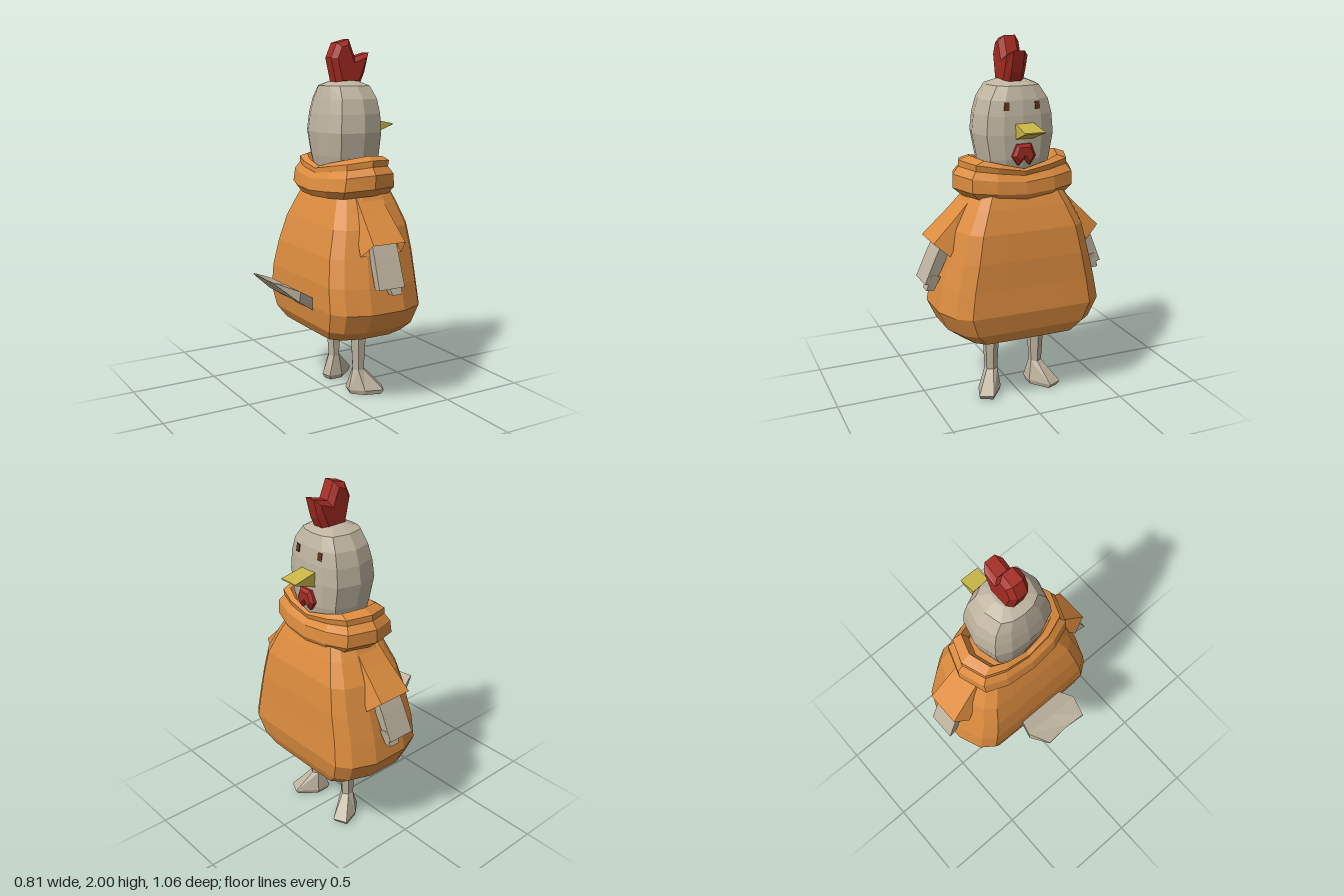
import * as THREE from 'three';

const mat = (name, color, side = THREE.FrontSide) => {
  const m = new THREE.MeshStandardMaterial({ color, flatShading: true, side });
  m.name = name;
  return m;
};

// Skin a list of equal-length rings of [x, y, z] points; faces are turned outward by signed volume
function loft(rings, caps = true) {
  const tris = [], n = rings[0].length;
  for (let i = 0; i < rings.length - 1; i++) {
    for (let j = 0; j < n; j++) {
      const k = (j + 1) % n;
      const a = rings[i][j], b = rings[i][k], c = rings[i + 1][k], d = rings[i + 1][j];
      tris.push([a, b, c], [a, c, d]);
    }
  }
  if (caps) {
    const mid = r => [0, 1, 2].map(q => r.reduce((s, p) => s + p[q], 0) / n);
    const first = rings[0], last = rings[rings.length - 1];
    const c0 = mid(first), c1 = mid(last);
    for (let j = 0; j < n; j++) {
      const k = (j + 1) % n;
      tris.push([c0, first[k], first[j]], [c1, last[j], last[k]]);
    }
  }
  const v = p => new THREE.Vector3(...p);
  const volume = tris.reduce((s, [a, b, c]) => s + v(a).dot(v(b).cross(v(c))), 0);
  const pos = tris.flatMap(t => (volume < 0 ? [t[0], t[2], t[1]] : t).flat());
  const g = new THREE.BufferGeometry();
  g.setAttribute('position', new THREE.Float32BufferAttribute(pos, 3));
  g.computeVertexNormals();
  return g;
}

// Mirror a quarter outline (from +x round to +z) into a full unit outline
function fullOutline(quarter) {
  const half = [...quarter, ...quarter.slice().reverse().filter(p => p[0] > 0).map(([x, z]) => [-x, z])];
  return [...half, ...half.slice().reverse().filter(p => p[1] > 0).map(([x, z]) => [x, -z])];
}
const boxy = fullOutline([[1, 0], [1, 0.38], [0.99, 0.73], [0.8, 0.89], [0.36, 1], [0, 1.0]]);
const oval = fullOutline([[1, 0], [0.94, 0.48], [0.73, 0.84], [0, 1]]);

// Horizontal section: height, back x, front x, half width in z
const section = (outline, [y, x0, x1, hz], cz = 0) =>
  outline.map(([u, w]) => [(x0 + x1) / 2 + u * (x1 - x0) / 2, y, cz + w * hz]);

export function createModel() {
  const root = new THREE.Group();
  root.name = 'chickenInHoodie';
  const orange = mat('orange cloth', 0xdc8c3f);
  const orangeOpen = mat('orange sleeve cloth', 0xdc8c3f, THREE.DoubleSide);
  const feather = mat('pale feather', 0xbfb4a0);
  const red = mat('comb red', 0xa52b22);
  const yellow = mat('beak yellow', 0xc9b648);
  const brown = mat('eye brown', 0x5a3119);
  const add = (name, geometry, material, parent = root) => {
    const m = new THREE.Mesh(geometry, material);
    m.name = name;
    parent.add(m);
    return m;
  };

  // Baggy hoodie body
  add('hoodieBody', loft([
    [0.39, -0.13, 0.355, 0.34], [0.45, -0.165, 0.38, 0.42], [0.56, -0.18, 0.4, 0.472],
    [0.70, -0.178, 0.388, 0.445], [0.85, -0.155, 0.38, 0.405], [1.0, -0.115, 0.36, 0.365],
    [1.12, -0.07, 0.32, 0.30], [1.22, -0.03, 0.28, 0.24],
  ].map(s => section(boxy, s))), orange);

  // Folded hood around the neck: y, back x, front x, half z, dip at front and back
  const folds = [
    [1.19, -0.04, 0.27, 0.23, 0.01], [1.165, -0.09, 0.30, 0.29, 0.01], [1.21, -0.115, 0.318, 0.342, 0.02],
    [1.285, -0.10, 0.31, 0.342, 0.03], [1.325, -0.075, 0.285, 0.31, 0.04], [1.36, -0.075, 0.292, 0.31, 0.05],
    [1.38, -0.05, 0.275, 0.25, 0.06], [1.30, -0.03, 0.255, 0.21, 0.04],
  ].map(f => section(oval, f).map(([x, y, z]) =>
    [x, y - f[4] * (1 - Math.abs(z) / f[3]) - (x < 0 ? 0.01 : 0), z]));
  add('hoodCollar', loft([...folds, folds[0]], false), orange);

  // Head
  add('head', loft([
    [1.25, -0.03, 0.25, 0.17], [1.37, -0.055, 0.275, 0.20], [1.50, -0.07, 0.28, 0.225],
    [1.60, -0.058, 0.274, 0.215], [1.68, -0.042, 0.262, 0.192], [1.75, -0.025, 0.236, 0.14],
    [1.778, 0.045, 0.17, 0.07],
  ].map(s => section(oval, s, 0.007))), feather);

  // Comb and wattle are bevelled slabs
  const slab = (points, depth, bevel) => {
    const g = new THREE.ExtrudeGeometry(new THREE.Shape(points.map(p => new THREE.Vector2(...p))), {
      depth, bevelEnabled: true, bevelSegments: 1, bevelThickness: bevel, bevelSize: bevel, bevelOffset: -bevel,
    });
    return g.translate(0, 0, -depth / 2);
  };
  add('comb', slab([[0.035, 1.75], [0.18, 1.75], [0.212, 1.82], [0.24, 1.93], [0.15, 1.905],
    [0.11, 2.0], [0.035, 1.98], [0, 1.9]], 0.062, 0.027), red).position.z = 0.018;
  const wattle = add('wattle', slab([[0, 1.375], [0.032, 1.342], [0.066, 1.39], [0.04, 1.455],
    [-0.04, 1.455], [-0.066, 1.39], [-0.032, 1.342]], 0.02, 0.016), red);
  wattle.rotation.y = Math.PI / 2;
  wattle.position.set(0.277, 0, 0.008);

  // Wedge beak, slightly wider at the tip
  add('beak', loft([
    [[0.25, 1.565, 0.05], [0.25, 1.565, -0.05], [0.25, 1.47, -0.05], [0.25, 1.47, 0.05]],
    [[0.405, 1.532, 0.057], [0.405, 1.532, -0.057], [0.405, 1.526, -0.055], [0.405, 1.526, 0.055]],
  ]), yellow);

  // Tail fan with a notched tip: top x, top y, bottom x, bottom y, half z, middle shift
  add('tail', loft([
    [-0.12, 0.575, -0.12, 0.5, 0.125, 0], [-0.27, 0.662, -0.28, 0.605, 0.178, 0],
    [-0.40, 0.717, -0.403, 0.71, 0.13, 0.03],
  ].map(([tx, ty, bx, by, h, s]) => {
    const c = 0.012;
    return [[tx, ty, c - h], [tx + s, ty - s * 0.7, c], [tx, ty, c + h],
      [bx, by, c + h], [bx + s, by - s * 0.7, c], [bx, by, c - h]];
  })), feather);

  for (const s of [1, -1]) {
    const side = new THREE.Group();
    side.name = s > 0 ? 'rightSide' : 'leftSide';
    root.add(side);
    const flip = rings => rings.map(r => r.map(([x, y, z]) => [x, y, z * s]));

    // Flared open sleeve
    add('sleeve', loft(flip([
      [[0.03, 1.18, 0.25], [0.18, 1.18, 0.25], [0.20, 1.08, 0.24], [0.01, 1.08, 0.24]],
      [[0.02, 1.08, 0.345], [0.19, 1.08, 0.345], [0.21, 0.97, 0.34], [-0.01, 0.97, 0.34]],
      [[0.0, 0.94, 0.487], [0.2, 0.94, 0.487], [0.23, 0.868, 0.405], [-0.03, 0.868, 0.405]],
    ]), false), orangeOpen, side);

    // Flat wing arm with a short thumb
    add('arm', loft(flip([
      [[0.03, 0.98, 0.41], [0.18, 0.98, 0.41], [0.17, 0.95, 0.36], [0.04, 0.95, 0.36]],
      [[0.02, 0.86, 0.467], [0.175, 0.86, 0.467], [0.165, 0.82, 0.415], [0.03, 0.82, 0.415]],
      [[0.01, 0.71, 0.53], [0.17, 0.71, 0.53], [0.16, 0.695, 0.475], [0.02, 0.695, 0.475]],
    ])), feather, side);
    add('thumb', loft(flip([
      [[0.08, 0.76, 0.49], [0.17, 0.76, 0.49], [0.165, 0.74, 0.44], [0.09, 0.74, 0.44]],
      [[0.10, 0.67, 0.52], [0.16, 0.67, 0.52], [0.155, 0.665, 0.475], [0.105, 0.665, 0.475]],
    ])), feather, side);

    // Leg flowing into a splayed foot
    const leg = [[0.5, 0.055, 0.045], [0.39, 0.052, 0.044], [0.14, 0.036, 0.034]].map(([y, rx, rz]) =>
      [0, 1, 2, 3, 4, 5].map(i => {
        const a = i * Math.PI / 3;
        return [0.13 + Math.cos(a) * rx, y, 0.138 + Math.sin(a) * rz * 1.1];
      }));
    const foot = y => [[0.27, y, 0.175], [0.235, y, 0.25], [0.13, y, 0.215],
      [0.06, y, 0.15], [0.075, y, 0.09], [0.16, y, 0.09]];
    const sole = foot(0).map(([x, , z]) => [0.15 + (x - 0.15) * 0.85, 0, 0.16 + (z - 0.16) * 0.88]);
    add('legAndFoot', loft(flip([...leg, foot(0.025), sole])), feather, side);

    // Eye plate set on the face
    const eye = add('eye', new THREE.BoxGeometry(0.009, 0.042, 0.028), brown, side);
    eye.position.set(0.257, 1.65, 0.009 + s * 0.086);
    eye.rotation.set(0, -s * 0.14, 0.17);
  }
  return root;
}
